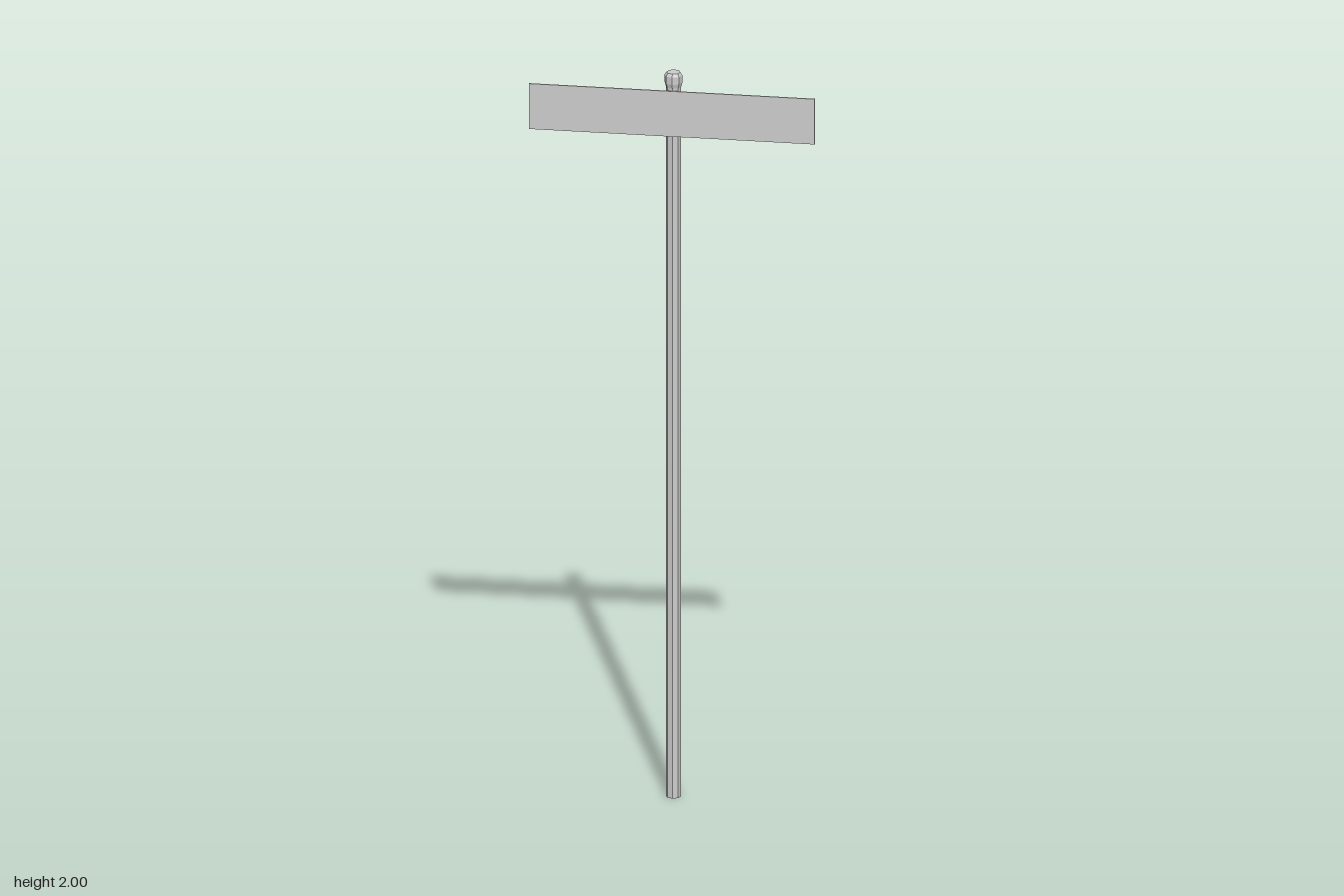
import * as THREE from 'three';

const SIDES = 8;

export function createModel() {
  const model = new THREE.Group();
  model.name = 'streetSign';
  const material = new THREE.MeshStandardMaterial({ color: 0xcccccc, flatShading: true });

  const add = (name, geometry, y, z) => {
    const mesh = new THREE.Mesh(geometry, material);
    mesh.name = name;
    mesh.position.set(0, y, z);
    model.add(mesh);
  };

  // Octagonal post, just behind the panel
  const postZ = -0.025;
  add('post', new THREE.CylinderGeometry(0.02, 0.02, 1.965, SIDES), 0.9825, postZ);

  // Flared cap with a bevelled top
  const capProfile = [[0, 0], [0.02, 0], [0.0235, 0.012], [0.0235, 0.032], [0.018, 0.04], [0, 0.04]]
    .map(([r, y]) => new THREE.Vector2(r, y));
  add('postCap', new THREE.LatheGeometry(capProfile, SIDES), 1.96, postZ);

  // Thin name panel
  add('signPanel', new THREE.BoxGeometry(0.75, 0.125, 0.004), 1.893, 0);

  // The whole sign is turned about the vertical
  model.rotation.y = -0.467;
  return model;
}
